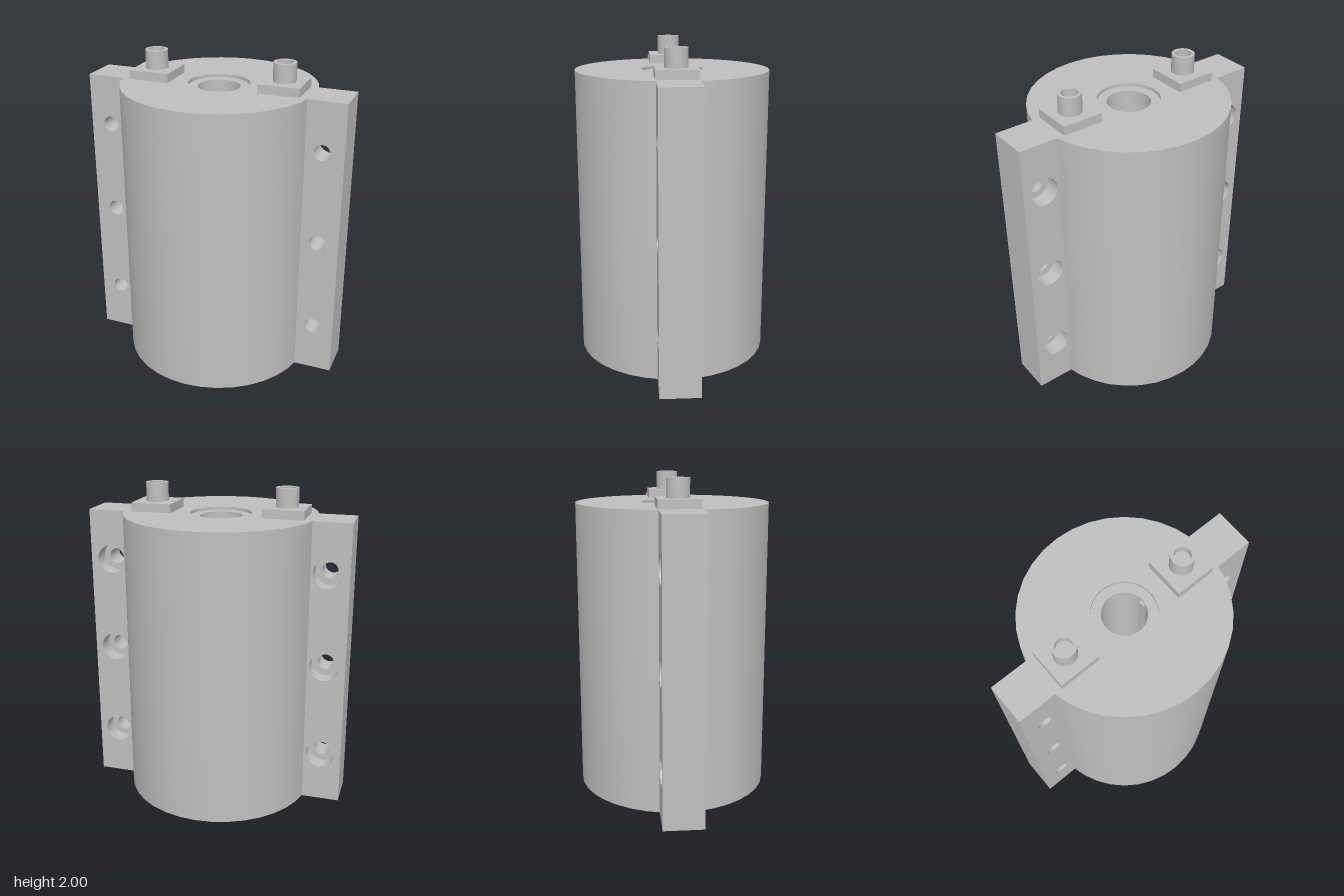
import * as THREE from 'three';
import { toCreasedNormals } from 'three/addons/utils/BufferGeometryUtils.js';

const H = 1.83;          // body height
const R = 0.605;         // body radius
const BORE = 0.135;      // centre bore radius
const SHELF = H - 0.02;  // bottom of the shallow recess around the bore
const FLOOR = H - 1.6;   // bottom of the bore
const BACK = -0.125, FRONT = 0.125;

export function createModel() {
  const group = new THREE.Group();
  const metal = new THREE.MeshStandardMaterial({ color: 0xbfbfbf });
  metal.name = 'greyMetal';

  const add = (name, geometry, parent = group) => {
    const mesh = new THREE.Mesh(toCreasedNormals(geometry, 0.6), metal);
    mesh.name = name;
    parent.add(mesh);
    return mesh;
  };
  const lathe = (points, segments = 36, start = 0, length = Math.PI * 2) =>
    new THREE.LatheGeometry(points.map(([x, y]) => new THREE.Vector2(x, y)), segments, start, length);
  const rect = (x0, x1, y0, y1) => new THREE.Shape([
    new THREE.Vector2(x0, y0), new THREE.Vector2(x1, y0),
    new THREE.Vector2(x1, y1), new THREE.Vector2(x0, y1)]);
  const punch = (shape, x, y, r) => shape.holes.push(new THREE.Path().absarc(x, y, r, 0, Math.PI * 2, true));

  // Main cylinder with a shallow recess around the bore
  const half = 0.03;                       // half width of the flat panel in the bore
  const gap = Math.asin(half / BORE);
  const flatX = BORE * Math.cos(gap);
  add('body', lathe([[0, 0], [R, 0], [R, H], [0.19, H], [0.19, SHELF], [flatX, SHELF]]));

  // Bore wall and floor, with a small side channel on the left
  add('boreWall', lathe([[BORE, SHELF], [BORE, FLOOR]], 36, Math.PI / 2 + gap, 2 * (Math.PI - gap)));
  add('boreFloor', lathe([[BORE, FLOOR], [0, FLOOR]]));
  const panel = rect(-half, half, FLOOR, SHELF);
  punch(panel, 0, SHELF - 0.045, 0.025);
  add('borePanel', new THREE.ShapeGeometry(panel, 16).rotateY(-Math.PI / 2).translate(flatX, 0, 0));
  add('sideChannel', lathe([[0.025, 0], [0.025, -0.28], [0, -0.28]], 20)
    .rotateZ(Math.PI / 2).translate(flatX, SHELF - 0.045, 0));

  // Mounting flanges: small holes at the front, counterbores at the back
  const flangeLayer = (side, radius, z0, z1) => {
    const shape = side > 0 ? rect(0.585, 0.83, 0, H) : rect(-0.83, -0.585, 0, H);
    for (const y of [0.32, 0.92, 1.515]) punch(shape, side * 0.695, y, radius);
    return new THREE.ExtrudeGeometry(shape, { depth: z1 - z0, bevelEnabled: false, curveSegments: 28 })
      .translate(0, 0, z0);
  };

  for (const side of [-1, 1]) {
    const label = side > 0 ? 'left' : 'right';
    const flange = new THREE.Group();
    flange.name = label + 'Flange';
    add('flangeFront', flangeLayer(side, 0.05, BACK + 0.1, FRONT), flange);
    add('flangeBack', flangeLayer(side, 0.09, BACK, BACK + 0.1), flange);
    group.add(flange);

    // Connector: square base with a hollow stub
    const connector = new THREE.Group();
    connector.name = label + 'Connector';
    connector.position.set(side * 0.415, H, 0);
    add('connectorBase', new THREE.BoxGeometry(0.255, 0.055, 0.255).translate(0, 0.0275, 0), connector);
    add('connectorStub', lathe([[0.07, 0.055], [0.07, 0.17], [0.05, 0.17], [0.05, 0.12], [0, 0.12]], 28), connector);
    group.add(connector);
  }
  return group;
}
